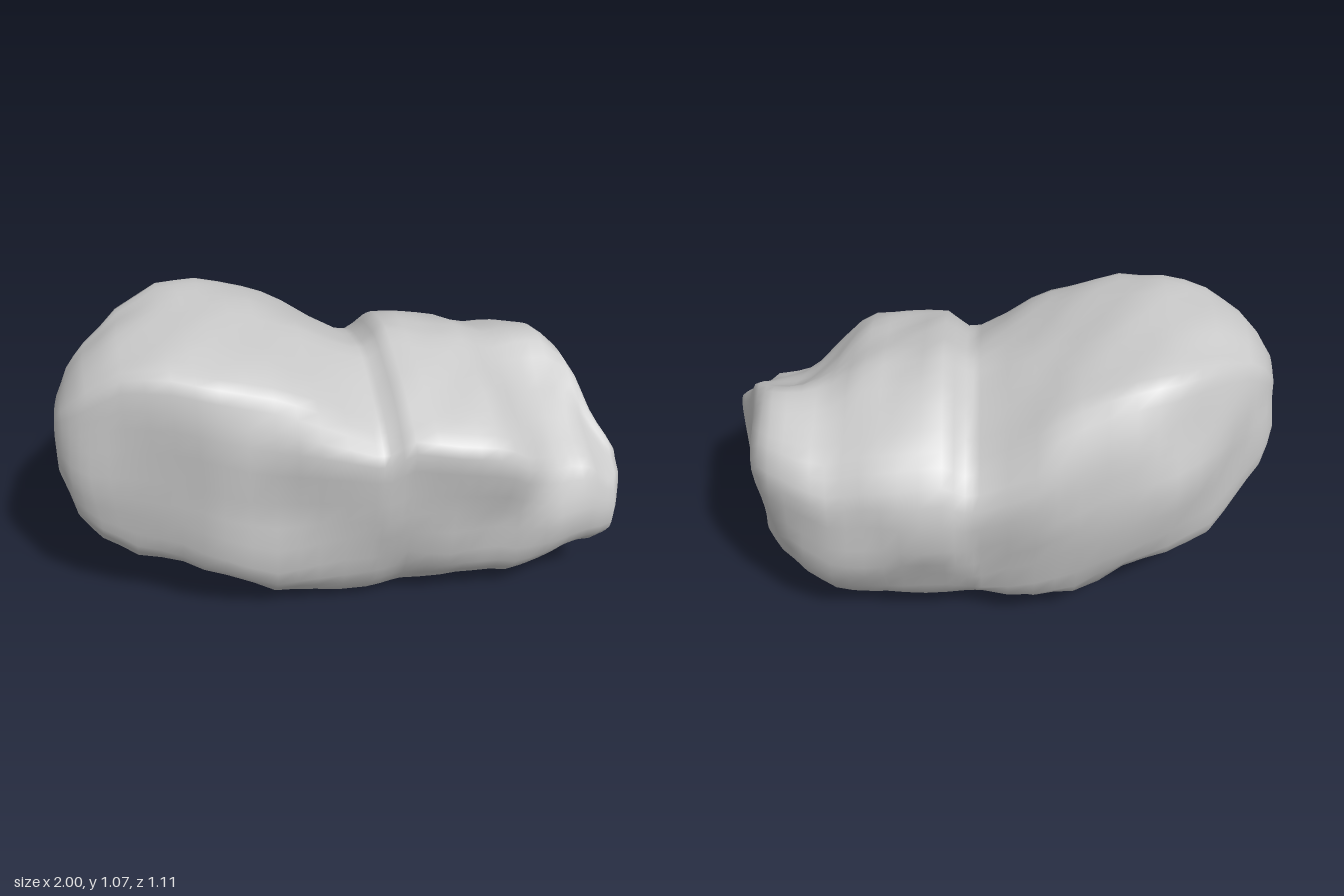
import * as THREE from 'three';

// Cross-sections along x: [x, bottom y, top y, back z, front z]
const SECTIONS = [
  [-1.0, 0.56, 0.82, -0.04, 0.17], [-0.95, 0.4, 0.9, -0.12, 0.24], [-0.88, 0.29, 0.97, -0.19, 0.28],
  [-0.76, 0.2, 1.05, -0.33, 0.32], [-0.6, 0.175, 1.075, -0.47, 0.39], [-0.45, 0.13, 1.06, -0.52, 0.45],
  [-0.27, 0.015, 1.02, -0.54, 0.46], [-0.12, 0.005, 0.97, -0.56, 0.49], [0.07, 0.005, 0.885, -0.51, 0.51],
  [0.12, 0.005, 0.885, -0.51, 0.515], [0.2, 0.01, 0.95, -0.53, 0.525], [0.35, 0.01, 0.92, -0.525, 0.545],
  [0.48, 0.015, 0.9, -0.52, 0.555], [0.6, 0.025, 0.84, -0.5, 0.53], [0.7, 0.06, 0.83, -0.46, 0.49],
  [0.8, 0.1, 0.82, -0.39, 0.46], [0.87, 0.13, 0.78, -0.28, 0.45], [0.92, 0.155, 0.68, -0.05, 0.43],
  [0.96, 0.2, 0.6, 0.1, 0.42], [1.0, 0.36, 0.53, 0.24, 0.36],
];

// Normalised outlines (across, up), from the top over the front and round
const HIGH_END = [[0, 1], [0.6, 0.99], [0.93, 0.95], [1, 0.75], [0.97, 0.4], [0.88, 0.13], [0.6, 0.01],
  [0, 0], [-0.5, 0.03], [-0.85, 0.2], [-1, 0.55], [-0.92, 0.77], [-0.74, 0.96], [-0.4, 0.99]];
const MIDDLE = [[0, 1], [0.45, 0.95], [0.8, 0.88], [1, 0.79], [0.9, 0.5], [0.78, 0.2], [0.52, 0.02],
  [0, 0], [-0.4, 0.03], [-0.76, 0.13], [-0.96, 0.38], [-1, 0.69], [-0.8, 0.86], [-0.35, 0.97]];
const LOW_END = [[-0.2, 1], [0.2, 0.86], [0.6, 0.75], [0.9, 0.64], [1, 0.42], [0.95, 0.2], [0.6, 0.01],
  [0.1, 0], [-0.4, 0.08], [-0.8, 0.22], [-0.97, 0.45], [-1, 0.75], [-0.85, 0.9], [-0.55, 0.99]];

// Local dents and bumps: centre, radius, offset
const DENTS = [
  [[0.12, 0.92, -0.45], 0.1, [0, -0.06, 0.03]],
  [[0.72, 0.82, 0.05], 0.12, [0, -0.04, 0]],
  [[0.92, 0.42, -0.05], 0.16, [-0.03, 0, 0]],
  [[0.3, 0.27, 0.47], 0.1, [0, 0, 0.02]],
  [[0.75, 0.35, 0.45], 0.1, [0, 0, 0.02]],
  [[-0.2, 0.56, 0.48], 0.16, [0, 0, -0.02]],
  [[-0.1, 0.35, -0.5], 0.15, [0, 0, 0.04]],
  [[0.3, 0.5, -0.52], 0.14, [0, 0, -0.02]],
];

const SIDES = 42;

function outline(points) {
  return new THREE.CatmullRomCurve3(points.map(([u, v]) => new THREE.Vector3(0, v, u)), true, 'catmullrom', 0.35)
    .getPoints(SIDES).slice(0, SIDES);
}

// Insert one ring between each pair of sections
function refine(rows) {
  return rows.flatMap((r, i) => (i + 1 < rows.length ? [r, r.map((n, k) => (n + rows[i + 1][k]) / 2)] : [r]));
}

// Gentle facets and hollows of worn stone
function roughen(p) {
  const n = Math.sin(p.x * 9 + p.y * 4 + 1) * Math.sin(p.y * 10 - p.z * 5) +
    0.6 * Math.sin(p.z * 15 + p.x * 7) * Math.sin(p.x * 13 - p.y * 12 + 2);
  const c = new THREE.Vector3(p.x * 0.6, 0.5, 0);
  const q = p.clone().addScaledVector(c.sub(p).normalize(), 0.012 * (n + 0.2));
  for (const [at, radius, push] of DENTS) {
    const w = Math.exp(-p.distanceToSquared(new THREE.Vector3(...at)) / (radius * radius));
    q.addScaledVector(new THREE.Vector3(...push), w);
  }
  q.y = Math.max(0, q.y);
  q.x = THREE.MathUtils.clamp(q.x, -1, 1);
  return q;
}

function boulderGeometry() {
  const [high, middle, low] = [HIGH_END, MIDDLE, LOW_END].map(outline);
  const rows = refine(SECTIONS);
  const positions = [];
  const index = [];

  rows.forEach(([x, y0, y1, z0, z1]) => {
    const toMiddle = THREE.MathUtils.smoothstep(x, -0.4, 0.15);
    const toLow = THREE.MathUtils.smoothstep(x, 0.5, 0.8);
    for (let j = 0; j < SIDES; j++) {
      const s = high[j].clone().lerp(middle[j], toMiddle).lerp(low[j], toLow);
      const p = new THREE.Vector3(x, y0 + (y1 - y0) * s.y, (z0 + z1) / 2 + ((z1 - z0) / 2) * s.z);
      positions.push(...roughen(p).toArray());
    }
  });

  // Skin between rings
  for (let i = 0; i < rows.length - 1; i++) {
    for (let j = 0; j < SIDES; j++) {
      const k = (j + 1) % SIDES;
      const a = i * SIDES + j, c = i * SIDES + k;
      const b = a + SIDES, d = c + SIDES;
      index.push(a, c, b, c, d, b);
    }
  }

  // Close both ends with a centre point
  const last = (rows.length - 1) * SIDES;
  [[0, rows[0]], [last, rows[rows.length - 1]]].forEach(([start, [x, y0, y1, z0, z1]]) => {
    const centre = positions.length / 3;
    positions.push(x, (y0 + y1) / 2, (z0 + z1) / 2);
    for (let j = 0; j < SIDES; j++) {
      const a = start + j, b = start + ((j + 1) % SIDES);
      index.push(centre, ...(start === 0 ? [b, a] : [a, b]));
    }
  });

  const geometry = new THREE.BufferGeometry();
  geometry.setAttribute('position', new THREE.Float32BufferAttribute(positions, 3));
  geometry.setIndex(index);
  geometry.computeVertexNormals();
  return geometry;
}

export function createModel() {
  const group = new THREE.Group();
  group.name = 'rock';
  const boulder = new THREE.Mesh(boulderGeometry(), new THREE.MeshStandardMaterial({ color: 0xcccccc }));
  boulder.name = 'boulder';
  group.add(boulder);
  return group;
}
